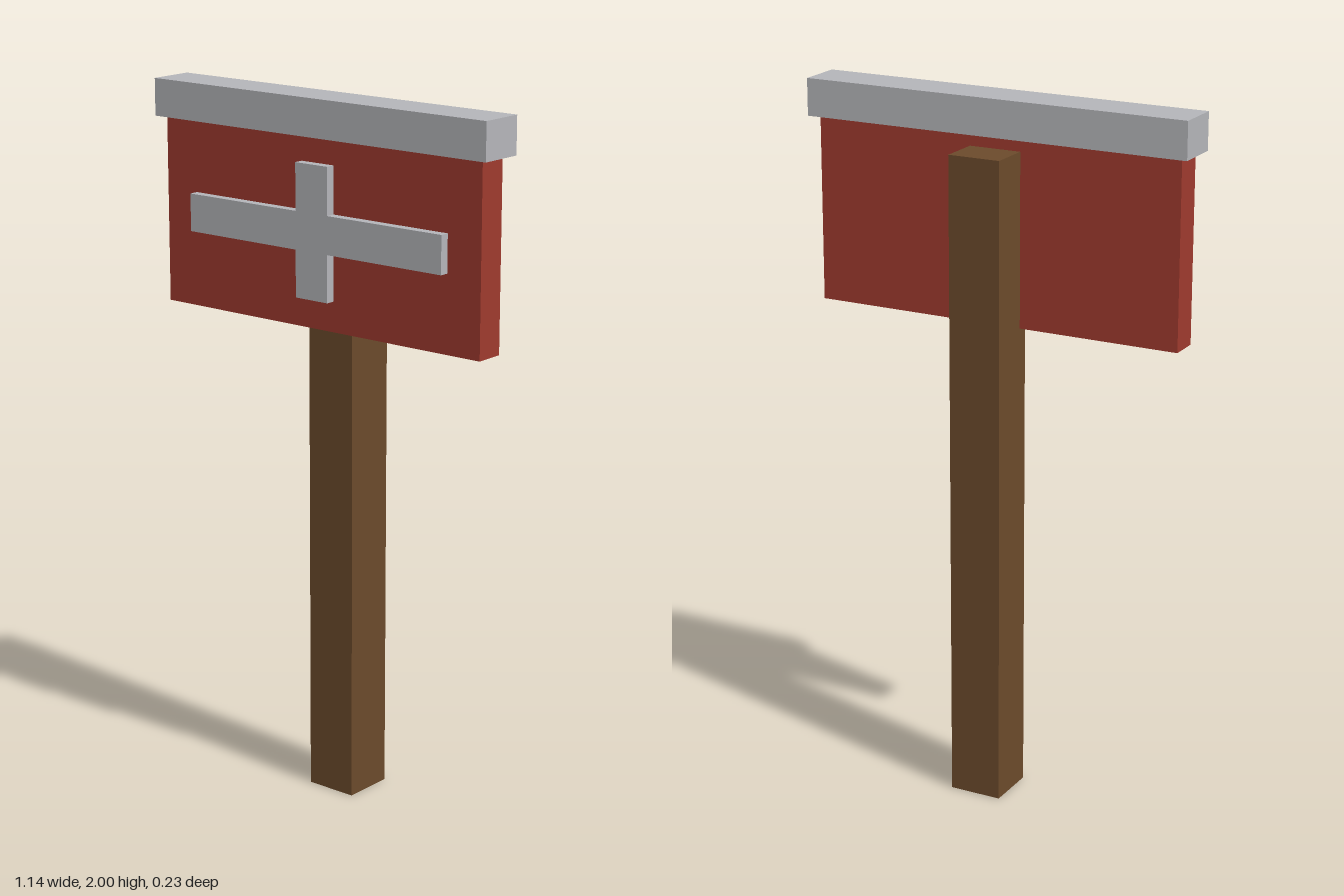
import * as THREE from 'three';

const wood = new THREE.MeshStandardMaterial({ color: 0x6b4a2b });
wood.name = 'brown wood';
const red = new THREE.MeshStandardMaterial({ color: 0x9e3a2e });
red.name = 'red paint';
const grey = new THREE.MeshStandardMaterial({ color: 0xb4b5b9 });
grey.name = 'light grey';

// Box centred on x, given its half width and its y and z extents
function box(name, material, halfWidth, y0, y1, z0, z1) {
  const geometry = new THREE.BoxGeometry(halfWidth * 2, y1 - y0, z1 - z0);
  geometry.translate(0, (y0 + y1) / 2, (z0 + z1) / 2);
  const mesh = new THREE.Mesh(geometry, material);
  mesh.name = name;
  return mesh;
}

// Raised cross with a wide horizontal arm
function cross(name, material, z0, z1) {
  const armX = 0.437, armY = 0.185, halfX = 0.055, halfY = 0.053;
  const outline = [
    [halfX, -armY], [halfX, -halfY], [armX, -halfY], [armX, halfY],
    [halfX, halfY], [halfX, armY], [-halfX, armY], [-halfX, halfY],
    [-armX, halfY], [-armX, -halfY], [-halfX, -halfY], [-halfX, -armY],
  ];
  const shape = new THREE.Shape(outline.map(([x, y]) => new THREE.Vector2(x, y)));
  const geometry = new THREE.ExtrudeGeometry(shape, { depth: z1 - z0, bevelEnabled: false });
  const mesh = new THREE.Mesh(geometry, material);
  mesh.name = name;
  mesh.position.set(0, 1.64, z0);
  return mesh;
}

export function createModel() {
  const group = new THREE.Group();
  group.name = 'signpost';
  group.add(
    box('post', wood, 0.076, 0, 1.86, -0.116, 0.035),
    box('signBoard', red, 0.545, 1.37, 1.895, 0.004, 0.089),
    box('topRail', grey, 0.57, 1.895, 2, -0.021, 0.11),
    cross('crossEmblem', grey, 0.085, 0.116),
  );
  return group;
}
